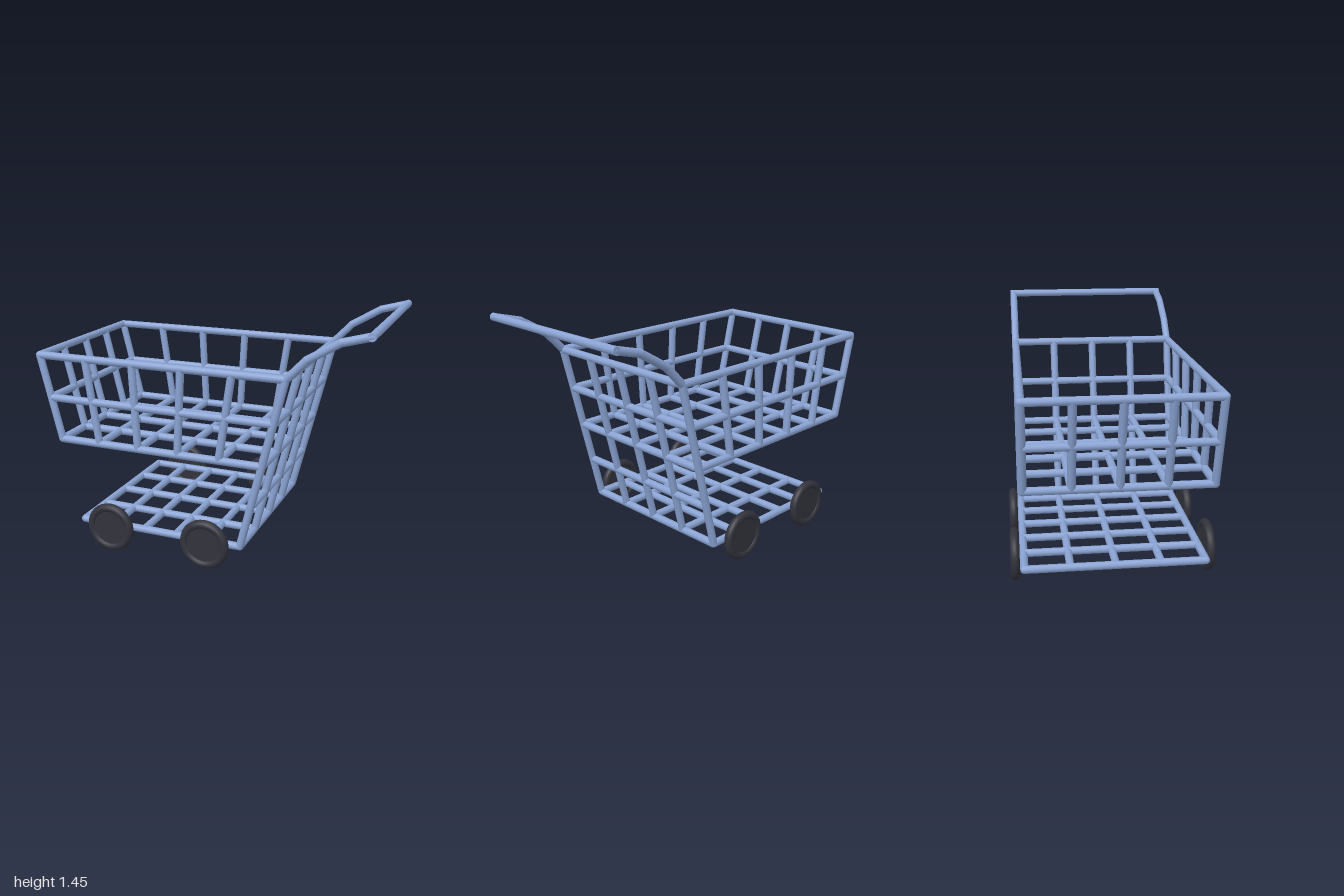
import * as THREE from 'three';

const RADIUS = 0.023;
const HALF = 0.505; // half width of the frame
const frameBlue = new THREE.MeshStandardMaterial({ color: 0x8ba4d4 });
frameBlue.name = 'frameBlue';
const wheelGrey = new THREE.MeshStandardMaterial({ color: 0x32323c });
wheelGrey.name = 'wheelGrey';

const lerp = THREE.MathUtils.lerp;

// Straight bar between two points
function bar(group, name, a, b, r = RADIUS) {
  const from = new THREE.Vector3(...a);
  const dir = new THREE.Vector3(...b).sub(from);
  const mesh = new THREE.Mesh(new THREE.CylinderGeometry(r, r, dir.length(), 10), frameBlue);
  mesh.position.copy(from).addScaledVector(dir, 0.5);
  mesh.quaternion.setFromUnitVectors(new THREE.Vector3(0, 1, 0), dir.normalize());
  mesh.name = name;
  group.add(mesh);
}

// Chain of bars with rounded joints, in the plane z
function chain(group, name, points, z) {
  points.forEach(([x, y], i) => {
    const joint = new THREE.Mesh(new THREE.SphereGeometry(RADIUS, 10, 8), frameBlue);
    joint.position.set(x, y, z);
    joint.name = name + 'Joint';
    group.add(joint);
    if (i) bar(group, name, [...points[i - 1], z], [x, y, z]);
  });
}

// Rectangular panel swept across z: lengthwise bars plus crossbars
function panel(name, a, b, segments) {
  const group = new THREE.Group();
  group.name = name;
  for (const z of [-0.253, 0, 0.253]) bar(group, name + 'Bar', [...a, z], [...b, z]);
  for (let i = 0; i <= segments; i++) {
    const x = lerp(a[0], b[0], i / segments), y = lerp(a[1], b[1], i / segments);
    bar(group, name + 'Crossbar', [x, y, -HALF], [x, y, HALF]);
  }
  return group;
}

function wheel(x, side) {
  const group = new THREE.Group();
  group.name = 'wheel';
  const tyre = new THREE.Mesh(new THREE.TorusGeometry(0.124, 0.026, 12, 32), wheelGrey);
  tyre.name = 'tyre';
  const hub = new THREE.Mesh(new THREE.CylinderGeometry(0.124, 0.124, 0.03, 32), wheelGrey);
  hub.rotation.x = Math.PI / 2;
  hub.name = 'hub';
  group.add(tyre, hub);
  group.position.set(x, 0.15, side * 0.554);
  return group;
}

export function createModel() {
  const cart = new THREE.Group();
  cart.name = 'shoppingCart';

  const topFront = [-0.977, 1.16], topBack = [0.535, 1.16];
  const floorFront = [-0.855, 0.655], floorBack = [0.408, 0.655];
  const trayFront = [-0.73, 0.15], trayBack = [0.285, 0.15];
  const handleEnd = [0.977, 1.423];

  for (const side of [-1, 1]) {
    const z = side * HALF;
    const frame = new THREE.Group();
    frame.name = 'sideFrame';
    // Tray rail, rear upright and curved handle arm
    chain(frame, 'uprightAndHandle',
      [trayFront, trayBack, topBack, [0.645, 1.275], [0.82, 1.38], handleEnd], z);
    // Basket outline and middle rail
    chain(frame, 'basketRail', [topBack, topFront, floorFront, floorBack], z);
    bar(frame, 'middleRail', [-0.916, 0.907, z], [0.472, 0.907, z]);
    // Basket side bars
    for (let i = 1; i < 5; i++) {
      bar(frame, 'sideBar',
        [lerp(topFront[0], topBack[0], i / 5), topFront[1], z],
        [lerp(floorFront[0], floorBack[0], i / 5), floorFront[1], z]);
    }
    cart.add(frame);
    for (const x of [-0.525, 0.085]) cart.add(wheel(x, side));
  }

  // Grids between the two side frames
  cart.add(panel('basketFront', floorFront, topFront, 2));
  cart.add(panel('basketFloor', floorFront, floorBack, 5));
  cart.add(panel('lowerTray', trayFront, trayBack, 5));
  cart.add(panel('rearGrid', trayBack, topBack, 4));

  bar(cart, 'pushHandle', [...handleEnd, -0.525], [...handleEnd, 0.525]);
  return cart;
}
